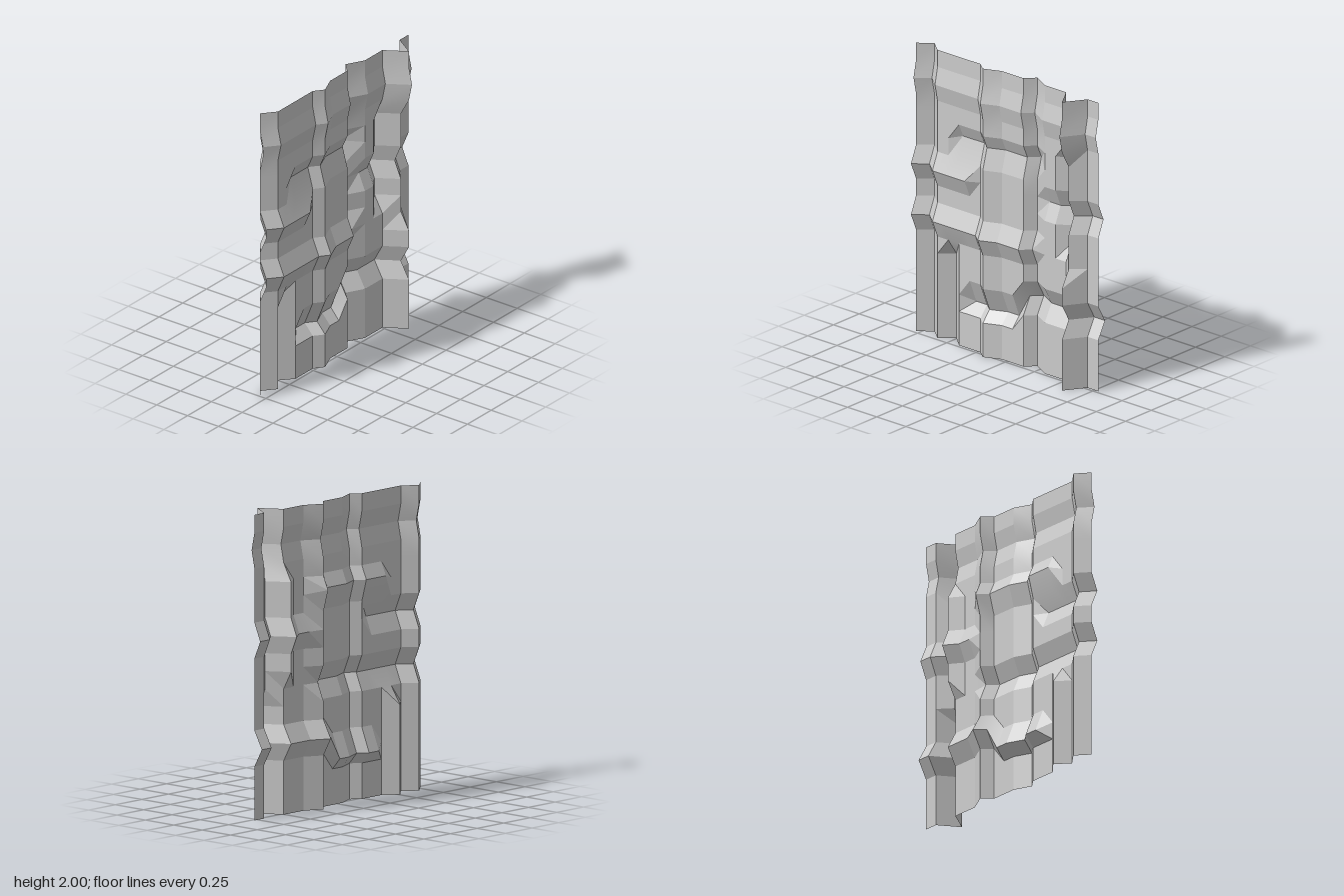
import * as THREE from 'three';
import { toCreasedNormals } from 'three/addons/utils/BufferGeometryUtils.js';

const N = 17; // cells per side

// Creases: columns i0..i1 (front to back), rows j0..j1 (bottom to top),
// depth along x, and how far the crease line slides in y or z
const creases = [
  // vertical folds
  { i: [1, 1], j: [0, 17], x: -0.075 },
  { i: [3, 3], j: [0, 5], x: -0.08 },
  { i: [7, 7], j: [0, 17], x: 0.05, z: 0.027 },
  { i: [11, 11], j: [0, 17], x: -0.065, z: 0.029 },
  { i: [14, 14], j: [8, 13], x: -0.065 },
  { i: [15, 15], j: [0, 17], x: 0.145 },
  { i: [15, 15], j: [7, 13], x: -0.065 },
  // horizontal folds
  { i: [0, 17], j: [15, 15], x: 0.025 },
  { i: [4, 11], j: [12, 12], x: -0.04, y: 0.028 },
  { i: [0, 5], j: [10, 10], x: 0.05 },
  { i: [12, 17], j: [10, 10], x: -0.05 },
  { i: [0, 11], j: [7, 7], x: 0.05 },
  { i: [10, 17], j: [4, 4], x: -0.065 },
  { i: [5, 9], j: [3, 3], x: -0.065, y: -0.043 },
];

export function createModel() {
  const group = new THREE.Group();
  group.name = 'foldedPanel';

  // Upright sheet facing +x; columns run from +z to -z, rows from top down
  const sheet = new THREE.PlaneGeometry(1.56, 2, N, N);
  sheet.rotateY(Math.PI / 2);
  sheet.translate(-0.02, 1, 0);

  // Push the grid points of every crease in or out
  const p = sheet.attributes.position;
  for (let k = 0; k < p.count; k++) {
    const i = k % (N + 1);
    const j = N - Math.floor(k / (N + 1));
    for (const c of creases) {
      if (i < c.i[0] || i > c.i[1] || j < c.j[0] || j > c.j[1]) continue;
      p.setXYZ(k, p.getX(k) + c.x, p.getY(k) + (c.y || 0), p.getZ(k) + (c.z || 0));
    }
  }

  const mesh = new THREE.Mesh(
    toCreasedNormals(sheet, 0.2),
    new THREE.MeshStandardMaterial({ color: 0xcccccc, side: THREE.DoubleSide })
  );
  mesh.name = 'creasedSheet';
  group.add(mesh);
  return group;
}
